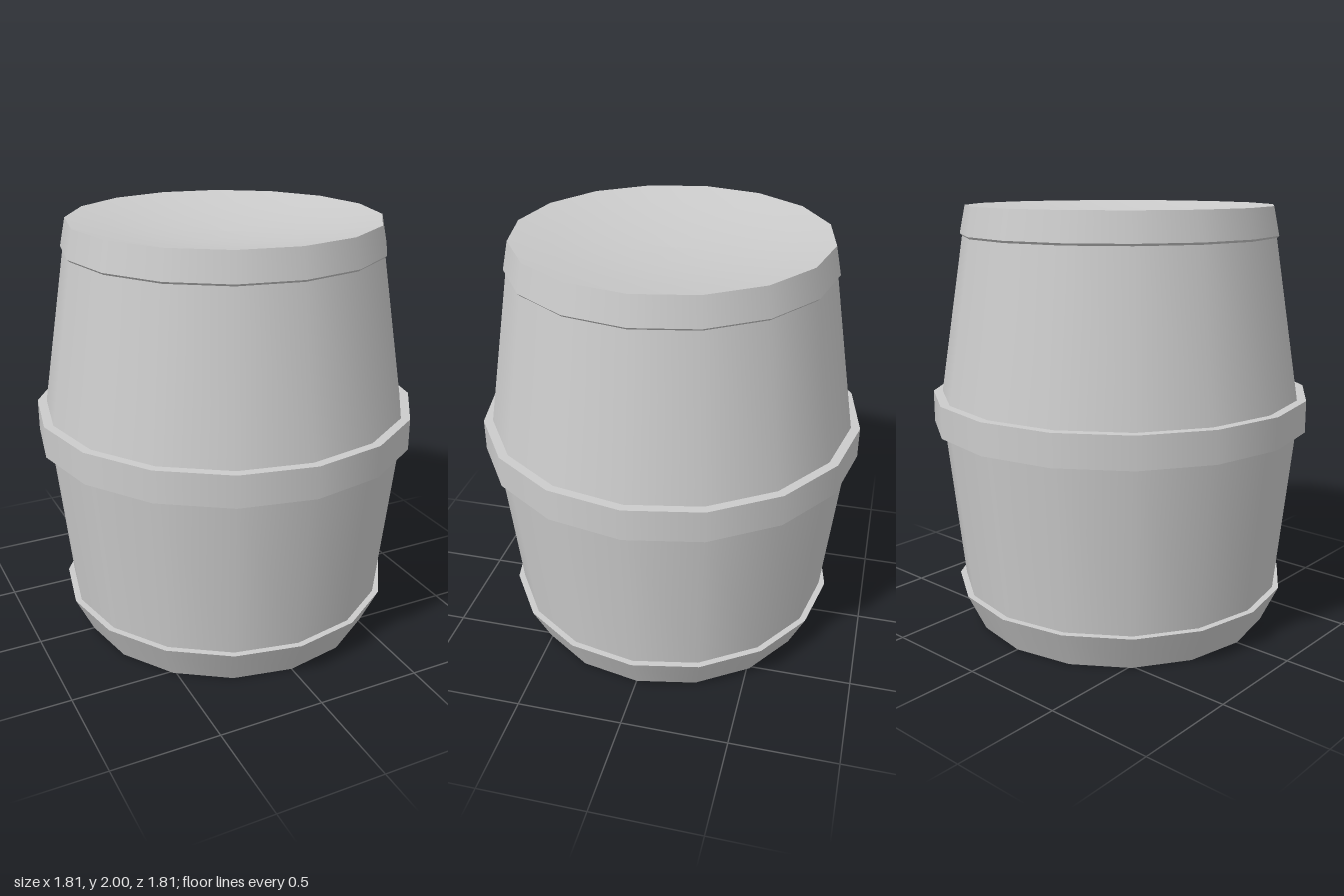
import * as THREE from 'three';
import { mergeGeometries } from 'three/addons/utils/BufferGeometryUtils.js';

const SIDES = 16;
const material = new THREE.MeshStandardMaterial({ color: 0xcccccc });

// Smooth surface of revolution through [radius, height] points
const lathe = (points) =>
  new THREE.LatheGeometry(points.map(([r, y]) => new THREE.Vector2(r, y)), SIDES);

// One part made of bands: smooth around, sharp between bands
function bandedPart(name, points) {
  const bands = points.slice(1).map((p, i) => lathe([points[i], p]));
  const mesh = new THREE.Mesh(mergeGeometries(bands), material);
  mesh.name = name;
  return mesh;
}

export function createModel() {
  const barrel = new THREE.Group();
  barrel.name = 'barrel';

  // Flat underside, flared foot hoop and its ledge
  barrel.add(bandedPart('footHoop', [[0, 0], [0.725, 0], [0.81, 0.18], [0.78, 0.18]]));

  // Staves below and above the middle hoop
  barrel.add(bandedPart('lowerStaves', [[0.78, 0.18], [0.862, 0.97]]));
  barrel.add(bandedPart('upperStaves', [[0.862, 1.12], [0.742, 1.86]]));

  // Middle hoop
  barrel.add(bandedPart('middleHoop',
    [[0.862, 0.97], [0.905, 0.97], [0.905, 1.12], [0.862, 1.12]]));

  // Tapered top hoop with a thin lip underneath
  barrel.add(bandedPart('topHoop', [[0.742, 1.86], [0.752, 1.87], [0.725, 2]]));

  // Slightly dished lid
  const dish = [1, 0.75, 0.5, 0.25, 0].map((t) => [0.725 * t, 2 - 0.07 * (1 - t * t)]);
  const lid = new THREE.Mesh(lathe(dish), material);
  lid.name = 'lid';
  barrel.add(lid);

  return barrel;
}
